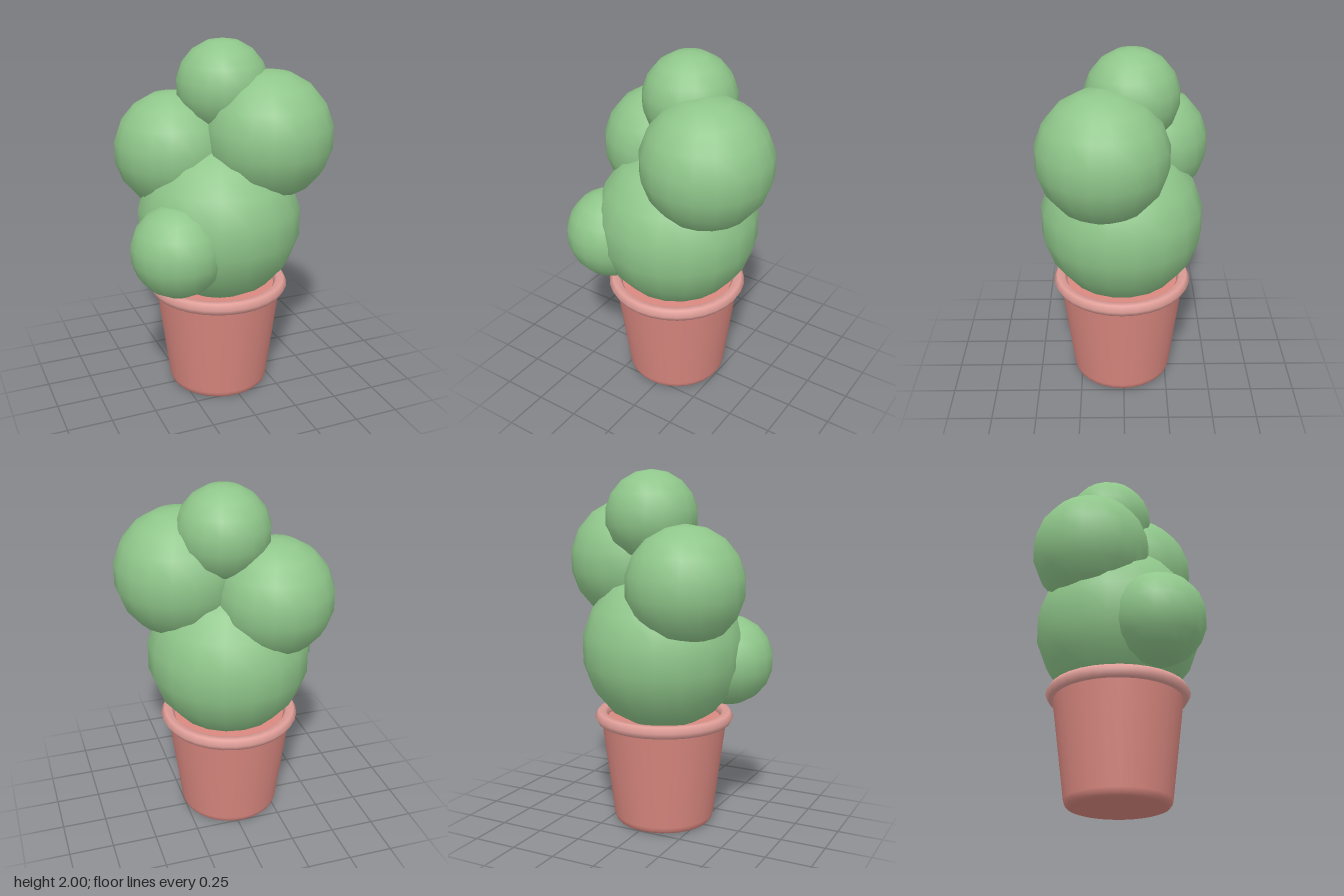
import * as THREE from 'three';

const PLANT = 0x8fc68a;
const CLAY = 0xda8880;
const RIM = 0xe09e98;

export function createModel() {
  const model = new THREE.Group();
  model.name = 'pottedPlant';

  const add = (name, geometry, color, x, y, z) => {
    const mesh = new THREE.Mesh(geometry, new THREE.MeshStandardMaterial({ color }));
    mesh.name = name;
    mesh.position.set(x, y, z);
    model.add(mesh);
    return mesh;
  };

  // Rounded foliage lobes: [name, x, y, z, radius]
  const lobes = [
    ['mainLobe', -0.02, 1.01, 0.01, 0.46],
    ['upperRightLobe', -0.23, 1.39, -0.15, 0.327],
    ['upperLeftLobe', 0.23, 1.489, 0.11, 0.357],
    ['topLobe', 0.025, 1.744, -0.045, 0.256],
    ['lowerRightLobe', -0.335, 0.935, 0.21, 0.257],
  ];
  for (const [name, x, y, z, r] of lobes) {
    const lobe = add(name, new THREE.SphereGeometry(r, 18, 9), PLANT, x, y, z);
    lobe.rotation.y = Math.PI / 2;
  }

  // Tapered pot with a softened base edge
  const wall = [[0, 0], [0.25, 0], [0.268, 0.006], [0.28, 0.02], [0.286, 0.042], [0.358, 0.605]]
    .map(([r, y]) => new THREE.Vector2(r, y));
  add('pot', new THREE.LatheGeometry(wall, 32), CLAY, -0.025, 0, 0.01);

  // Flat fill inside the rim
  const fill = new THREE.CircleGeometry(0.358, 32).rotateX(-Math.PI / 2);
  add('potFill', fill, CLAY, -0.025, 0.605, 0.01);

  // Rolled rim with a six-sided section
  const rim = new THREE.TorusGeometry(0.358, 0.038, 6, 32).rotateX(Math.PI / 2);
  add('potRim', rim, RIM, -0.025, 0.618, 0.01);

  return model;
}
